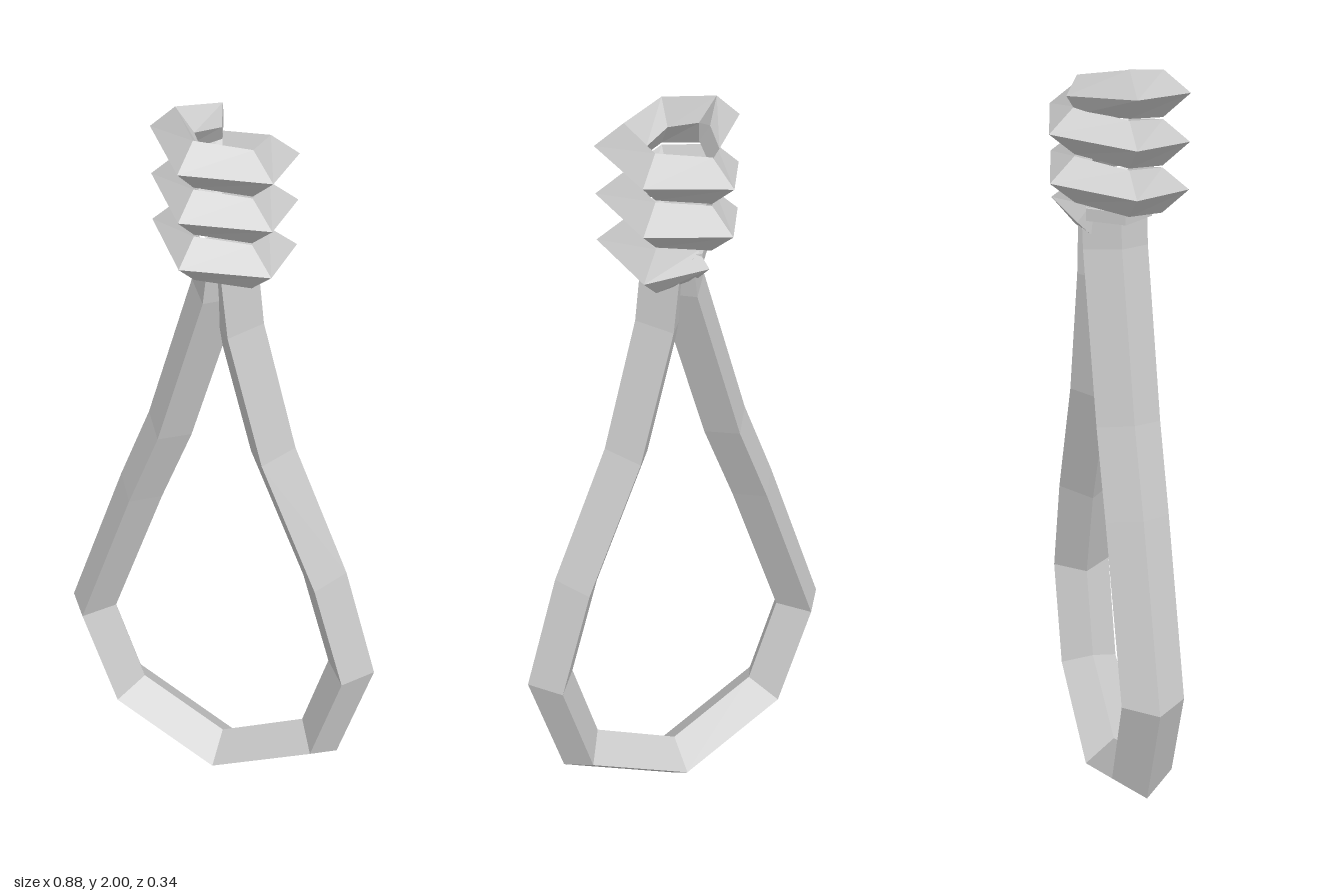
import * as THREE from 'three';

const material = new THREE.MeshStandardMaterial({ color: 0xcccccc, flatShading: true });

// Joins four-cornered rings into a capped, flat-faced rope
function ropeMesh(rings, name) {
  const pos = [];
  const quad = (a, b, c, d) => [a, b, c, a, c, d].forEach(p => pos.push(...p));
  for (let i = 0; i < rings.length - 1; i++) {
    for (let k = 0; k < 4; k++) {
      const n = (k + 1) % 4;
      quad(rings[i][k], rings[i + 1][k], rings[i + 1][n], rings[i][n]);
    }
  }
  const end = rings[rings.length - 1];
  quad(...rings[0]);
  quad(end[3], end[2], end[1], end[0]);
  const geometry = new THREE.BufferGeometry();
  geometry.setAttribute('position', new THREE.Float32BufferAttribute(pos, 3));
  geometry.computeVertexNormals();
  const mesh = new THREE.Mesh(geometry, material);
  mesh.name = name;
  return mesh;
}

// Hanging loop: diamond section mitred along a path in the xy plane
function createLoop() {
  const path = [
    [0, 1.66], [-0.012, 1.56], [-0.135, 1.15], [-0.22, 0.935], [-0.375, 0.5], [-0.28, 0.22],
    [0.008, 0.066], [0.295, 0.22], [0.373, 0.5], [0.288, 0.79], [0.14, 1.14], [0.05, 1.48], [0.03, 1.66],
  ].map(p => new THREE.Vector2(...p));
  const half = 0.061, depth = 0.08, z = -0.005;
  const normal = (a, b) => {
    const t = b.clone().sub(a).normalize();
    return new THREE.Vector2(t.y, -t.x);
  };
  const rings = path.map((p, i) => {
    const n1 = normal(path[Math.max(i - 1, 0)], path[Math.max(i, 1)]);
    const last = path.length - 1;
    const n2 = normal(path[Math.min(i, last - 1)], path[Math.min(i + 1, last)]);
    const n = n1.clone().add(n2).normalize();
    n.multiplyScalar(half / n.dot(n1));
    return [
      [p.x + n.x, p.y + n.y, z], [p.x, p.y, z + depth],
      [p.x - n.x, p.y - n.y, z], [p.x, p.y, z - depth],
    ];
  });
  return ropeMesh(rings, 'ropeLoop');
}

// Coiled knot: five-sided descending helix with both ends tucked in
function createCoil() {
  const corners = [[-0.165, 0.005], [-0.03, 0.17], [0.16, 0.09], [0.145, -0.125], [-0.055, -0.172]];
  const ring = (i, y, h, outer, mid, inner) => {
    const [x, z] = corners[(i + 5) % 5];
    return [
      [x * outer, y, z * outer], [x * mid, y + h, z * mid],
      [x * inner, y, z * inner], [x * mid, y - h, z * mid],
    ];
  };
  const rings = [ring(-1, 1.935, 0.045, 0.74, 0.58, 0.4)];
  for (let i = 0; i <= 13; i++) rings.push(ring(i, 1.945 - i * 0.0229, 0.055, 1, 0.63, 0.36));
  rings.push(ring(14, 1.635, 0.035, 0.6, 0.4, 0.2));
  return ropeMesh(rings, 'knotCoil');
}

export function createModel() {
  const group = new THREE.Group();
  group.name = 'ropeNoose';
  group.add(createLoop(), createCoil());

  // Plug closing the middle of the coil
  const core = new THREE.Mesh(new THREE.CylinderGeometry(0.085, 0.085, 0.03, 5), material);
  core.name = 'knotCore';
  core.position.y = 1.65;
  core.rotation.y = -Math.PI / 2;
  group.add(core);
  return group;
}
